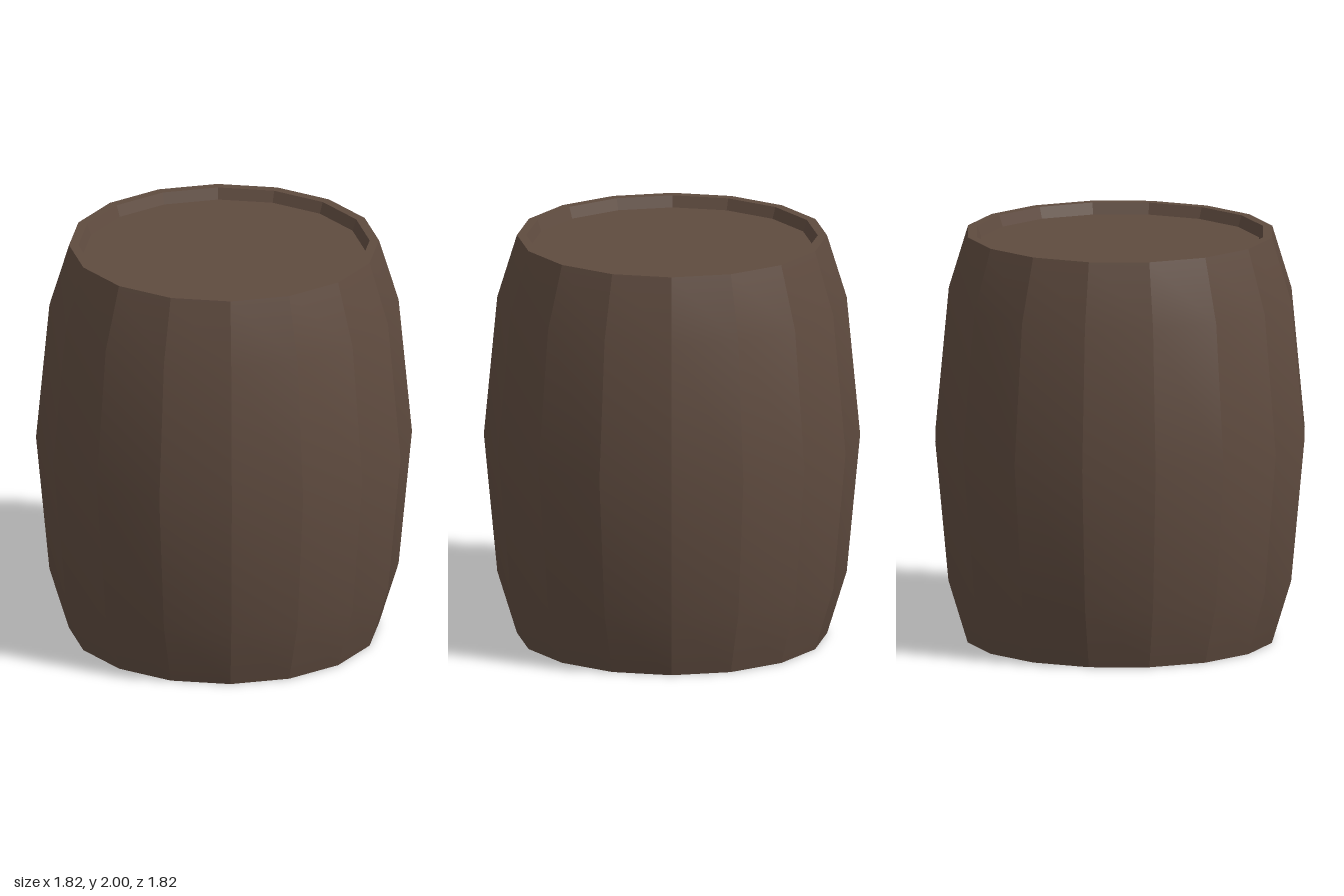
import * as THREE from 'three';
import { toCreasedNormals } from 'three/addons/utils/BufferGeometryUtils.js';

const SIDES = 16;

export function createModel() {
  const barrel = new THREE.Group();
  barrel.name = 'barrel';
  const wood = new THREE.MeshStandardMaterial({ name: 'dark wood', color: 0x5f4b3f });

  // Sixteen-sided ring swept from [radius, height] points, creased between staves
  const ring = (name, profile) => {
    const points = profile.map(([r, y]) => new THREE.Vector2(r, y));
    const geometry = toCreasedNormals(new THREE.LatheGeometry(points, SIDES), 0.35);
    const mesh = new THREE.Mesh(geometry, wood);
    mesh.name = name;
    barrel.add(mesh);
  };

  // Bulging wall of staves
  ring('staves', [[0.75, 0], [0.845, 0.31], [0.91, 1], [0.845, 1.69], [0.75, 2]]);

  // Rims: flat lip, then a short wall sloping in to the recessed head
  ring('topRim', [[0.75, 2], [0.705, 2], [0.685, 1.945]]);
  ring('bottomRim', [[0.685, 0.055], [0.705, 0], [0.75, 0]]);

  // Recessed heads
  for (const [name, y, tilt] of [['topHead', 1.945, -1], ['bottomHead', 0.055, 1]]) {
    const head = new THREE.Mesh(new THREE.CircleGeometry(0.685, SIDES), wood);
    head.name = name;
    head.position.y = y;
    head.rotation.x = tilt * Math.PI / 2;
    barrel.add(head);
  }

  return barrel;
}
